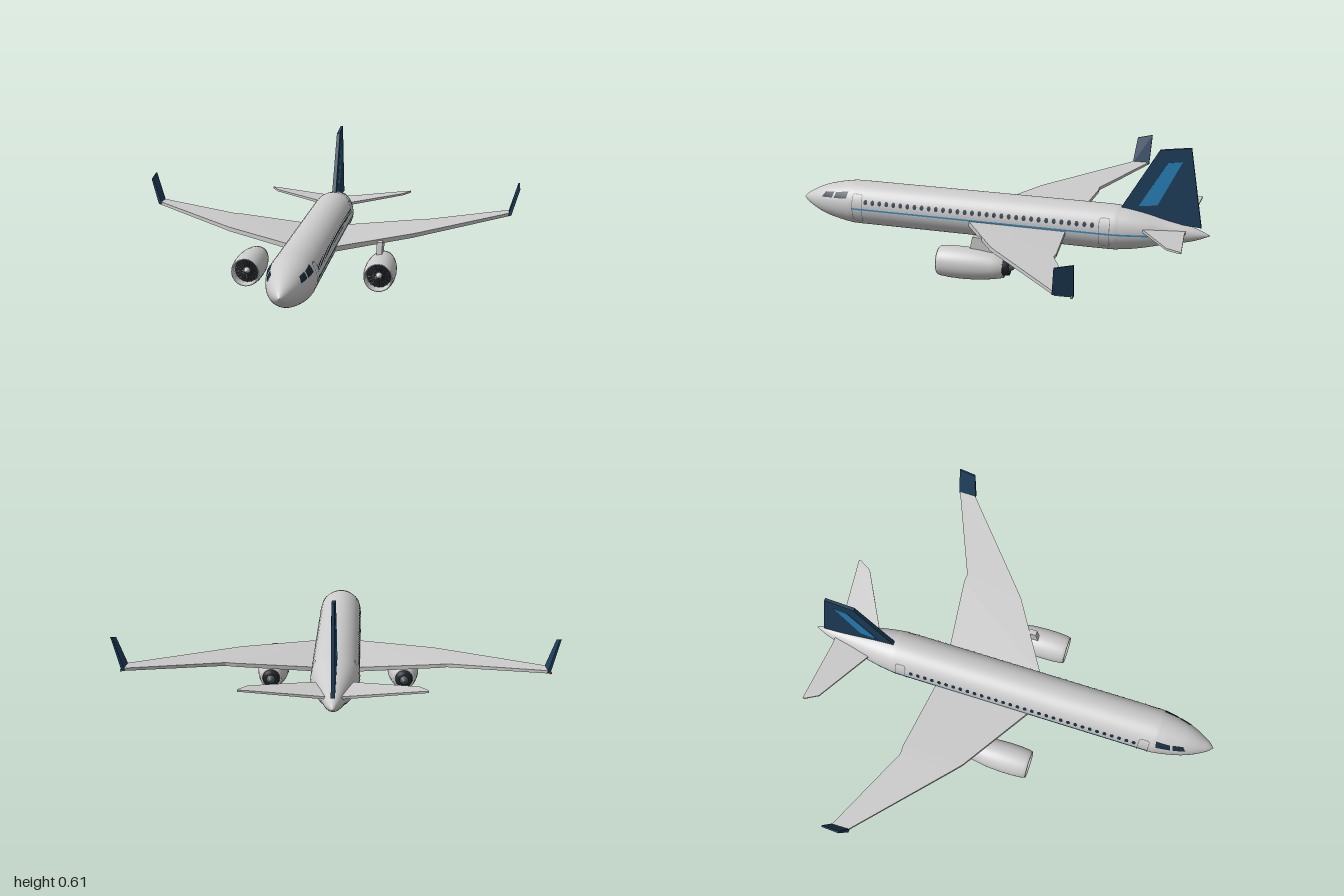
import * as THREE from 'three';

const mat = (color, extra = {}) => new THREE.MeshStandardMaterial({ color, ...extra });
const grey = mat(0xcccccc);
const greyFlat = mat(0xcccccc, { flatShading: true });
const navy = mat(0x1f3f5c, { flatShading: true });
const blue = mat(0x2a84bf, { flatShading: true });
const dark = mat(0x20262b);
const blade = mat(0x555b60);
const decal = (color) => mat(color, { side: THREE.DoubleSide });
const glass = decal(0x1b2c3c), stripeBlue = decal(0x3a8fc4), outline = decal(0x6a6f74);

const AXIS_Y = 0.21;

// Body radius along z, tail to nose
const bodyCurve = new THREE.SplineCurve([
  [0, -1], [0.022, -0.95], [0.04, -0.89], [0.059, -0.8], [0.084, -0.7], [0.101, -0.6],
  [0.106, -0.5], [0.106, 0], [0.106, 0.4], [0.106, 0.68], [0.102, 0.75], [0.084, 0.84],
  [0.064, 0.9], [0.039, 0.95], [0.02, 0.98], [0, 1],
].map(([r, z]) => new THREE.Vector2(r, z)));
const bodyPts = bodyCurve.getPoints(120).map((p) => new THREE.Vector2(Math.max(0, Math.min(p.x, 0.106)), p.y));

function bodyRadius(z) {
  for (let i = 1; i < bodyPts.length; i++) {
    const a = bodyPts[i - 1], b = bodyPts[i];
    if (z <= b.y) return a.x + (b.x - a.x) * (z - a.y) / (b.y - a.y);
  }
  return 0;
}

function add(parent, name, geometry, material) {
  const mesh = new THREE.Mesh(geometry, material);
  mesh.name = name;
  parent.add(mesh);
  return mesh;
}

const lathe = (pts, seg) =>
  new THREE.LatheGeometry(pts.map((p) => (p.isVector2 ? p : new THREE.Vector2(...p))), seg).rotateX(Math.PI / 2);

// Lay a flat geometry drawn in (z, y) onto the side of the body
function wrap(geo, side, lift = 0.0015) {
  const p = geo.attributes.position;
  for (let i = 0; i < p.count; i++) {
    const z = p.getX(i), y = p.getY(i), r = bodyRadius(z) + lift, dy = y - AXIS_Y;
    p.setXYZ(i, side * Math.sqrt(Math.max(0, r * r - dy * dy)), y, z);
  }
  geo.computeVertexNormals();
  return geo;
}

// Four-cornered patch: corners [z, y] in order around the edge
function quad(c, nu, nv) {
  const geo = new THREE.PlaneGeometry(1, 1, nu, nv), p = geo.attributes.position;
  for (let i = 0; i < p.count; i++) {
    const u = p.getX(i) + 0.5, v = p.getY(i) + 0.5;
    const mix = (k) => (1 - v) * ((1 - u) * c[0][k] + u * c[1][k]) + v * ((1 - u) * c[3][k] + u * c[2][k]);
    p.setXYZ(i, mix(0), mix(1), 0);
  }
  return geo;
}

// Slab through sections [x, yLead, yTrail, zLead, zTrail, thickness]; n points to its upper face
function slab(sections, n, side = 1) {
  const pos = [], idx = [];
  for (const [x, yl, yt, zl, zt, t] of sections) {
    for (const [y, z, s] of [[yl, zl, 0.5], [yt, zt, 0.4], [yt, zt, -0.4], [yl, zl, -0.5]]) {
      pos.push(side * (x + n[0] * t * s), y + n[1] * t * s, z);
    }
  }
  const tri = (a, b, c) => (side > 0 ? idx.push(a, b, c) : idx.push(a, c, b));
  const last = (sections.length - 1) * 4;
  for (let i = 0; i < last; i += 4) {
    for (let j = 0; j < 4; j++) {
      const a = i + j, b = i + (j + 1) % 4;
      tri(a, a + 4, b + 4);
      tri(a, b + 4, b);
    }
  }
  tri(0, 1, 2); tri(0, 2, 3);
  tri(last, last + 2, last + 1); tri(last, last + 3, last + 2);
  const geo = new THREE.BufferGeometry();
  geo.setAttribute('position', new THREE.Float32BufferAttribute(pos, 3));
  geo.setIndex(idx);
  const flat = geo.toNonIndexed();
  flat.computeVertexNormals();
  return flat;
}

function makeEngine(side) {
  const engine = new THREE.Group();
  engine.name = side > 0 ? 'leftEngine' : 'rightEngine';
  add(engine, 'nacelle', lathe([[0.036, -0.12], [0.05, -0.12], [0.061, -0.07], [0.071, 0], [0.0745, 0.07],
    [0.0735, 0.13], [0.07, 0.17], [0.067, 0.185], [0.063, 0.19], [0.059, 0.183], [0.058, 0.13]], 40), grey);
  add(engine, 'nozzle', lathe([[0.02, -0.145], [0.036, -0.145], [0.042, -0.11]], 32), dark);
  add(engine, 'exhaustCone', lathe([[0, -0.17], [0.007, -0.165], [0.022, -0.14]], 24), blade);
  add(engine, 'fanDisc', new THREE.CircleGeometry(0.059, 40), dark).position.z = 0.135;
  add(engine, 'spinner', lathe([[0.016, 0.135], [0.012, 0.155], [0.005, 0.167], [0, 0.169]], 24), grey);
  for (let i = 0; i < 18; i++) {
    const geo = new THREE.BoxGeometry(0.005, 0.044, 0.002).rotateY(0.6).translate(0, 0.036, 0.143);
    add(engine, 'fanBlade', geo.rotateZ(i * Math.PI / 9), blade);
  }
  engine.position.set(side * 0.31, 0.08, 0);
  return engine;
}

export function createModel() {
  const plane = new THREE.Group();
  plane.name = 'airliner';

  add(plane, 'fuselage', lathe(bodyPts, 48), grey).position.y = AXIS_Y;

  for (const side of [1, -1]) {
    const half = new THREE.Group();
    half.name = side > 0 ? 'leftSide' : 'rightSide';
    plane.add(half);

    // Swept wing with a kink, raked winglet and tip light
    add(half, 'wing', slab([
      [0.02, 0.184, 0.184, 0.165, -0.343, 0.024],
      [0.1, 0.19, 0.19, 0.116, -0.35, 0.024],
      [0.445, 0.215, 0.219, -0.095, -0.392, 0.02],
      [0.487, 0.218, 0.222, -0.13, -0.39, 0.019],
      [0.91, 0.246, 0.247, -0.495, -0.572, 0.015],
    ], [0, 1], side), greyFlat);
    add(half, 'winglet', slab([
      [0.906, 0.243, 0.243, -0.485, -0.572, 0.016],
      [0.949, 0.372, 0.392, -0.5, -0.578, 0.009],
    ], [-1, 0], side), navy);
    add(half, 'tipLight', new THREE.SphereGeometry(0.006, 12, 8), mat(side > 0 ? 0x2fae5a : 0xd03030))
      .position.set(side * 0.915, 0.242, -0.565);

    // Tailplane
    add(half, 'tailplane', slab([
      [0.01, 0.225, 0.225, -0.665, -0.893, 0.014],
      [0.065, 0.229, 0.229, -0.695, -0.89, 0.014],
      [0.345, 0.259, 0.259, -0.848, -0.914, 0.01],
      [0.38, 0.262, 0.262, -0.908, -0.917, 0.009],
    ], [0, 1], side), greyFlat);

    // Engine on its pylon
    half.add(makeEngine(side));
    add(half, 'pylon', slab([
      [0.3, 0.14, 0.135, 0.045, -0.085, 0.026],
      [0.3, 0.208, 0.208, 0.03, -0.13, 0.026],
    ], [-side, 0]), greyFlat);

    // Cabin windows
    for (let i = 0; i < 32; i++) {
      const geo = new THREE.CircleGeometry(1, 14).scale(0.0095, 0.012, 1).translate(0.635 - i * 0.0358, 0.244, 0);
      add(half, 'cabinWindow', wrap(geo, side), glass);
    }

    // Cockpit windows
    add(half, 'cockpitWindow', wrap(quad([[0.878, 0.241], [0.818, 0.246], [0.81, 0.272], [0.86, 0.266]], 6, 6), side), glass);
    add(half, 'cockpitWindow', wrap(quad([[0.808, 0.246], [0.738, 0.252], [0.732, 0.284], [0.8, 0.272]], 6, 6), side), glass);

    // Long side stripe
    add(half, 'sideStripe', wrap(quad([[0.71, 0.203], [-0.745, 0.203], [-0.745, 0.211], [0.71, 0.211]], 120, 2), side, 0.001), stripeBlue);

    // Door outlines with rounded corners
    for (const z of [0.68, -0.53]) {
      const ring = [];
      const w = 0.026, h = 0.069, r = 0.012, steps = 5;
      for (const [sx, sy, a0] of [[1, 1, 0], [-1, 1, 1], [-1, -1, 2], [1, -1, 3]]) {
        for (let k = 0; k <= steps; k++) {
          const a = (a0 + k / steps) * Math.PI / 2;
          ring.push([sx * (w - r), sy * (h - r), Math.cos(a), Math.sin(a)]);
        }
      }
      ring.forEach((p, i) => {
        const q = ring[(i + 1) % ring.length];
        const at = ([cx, cy, c, s], rad) => [z + cx + c * rad, AXIS_Y + cy + s * rad];
        add(half, 'doorOutline', wrap(quad([at(p, r), at(q, r), at(q, r - 0.003), at(p, r - 0.003)], 10, 1), side, 0.002), outline);
      });
    }
  }

  // Fin with an inset stripe on both faces
  add(plane, 'fin', slab([
    [0, 0.28, 0.245, -0.572, -0.957, 0.02],
    [0, 0.595, 0.615, -0.755, -0.895, 0.016],
  ], [-1, 0]), navy);
  add(plane, 'finStripe', slab([
    [0, 0.325, 0.335, -0.67, -0.755, 0.024],
    [0, 0.54, 0.55, -0.795, -0.86, 0.022],
  ], [-1, 0]), blue);

  return plane;
}
